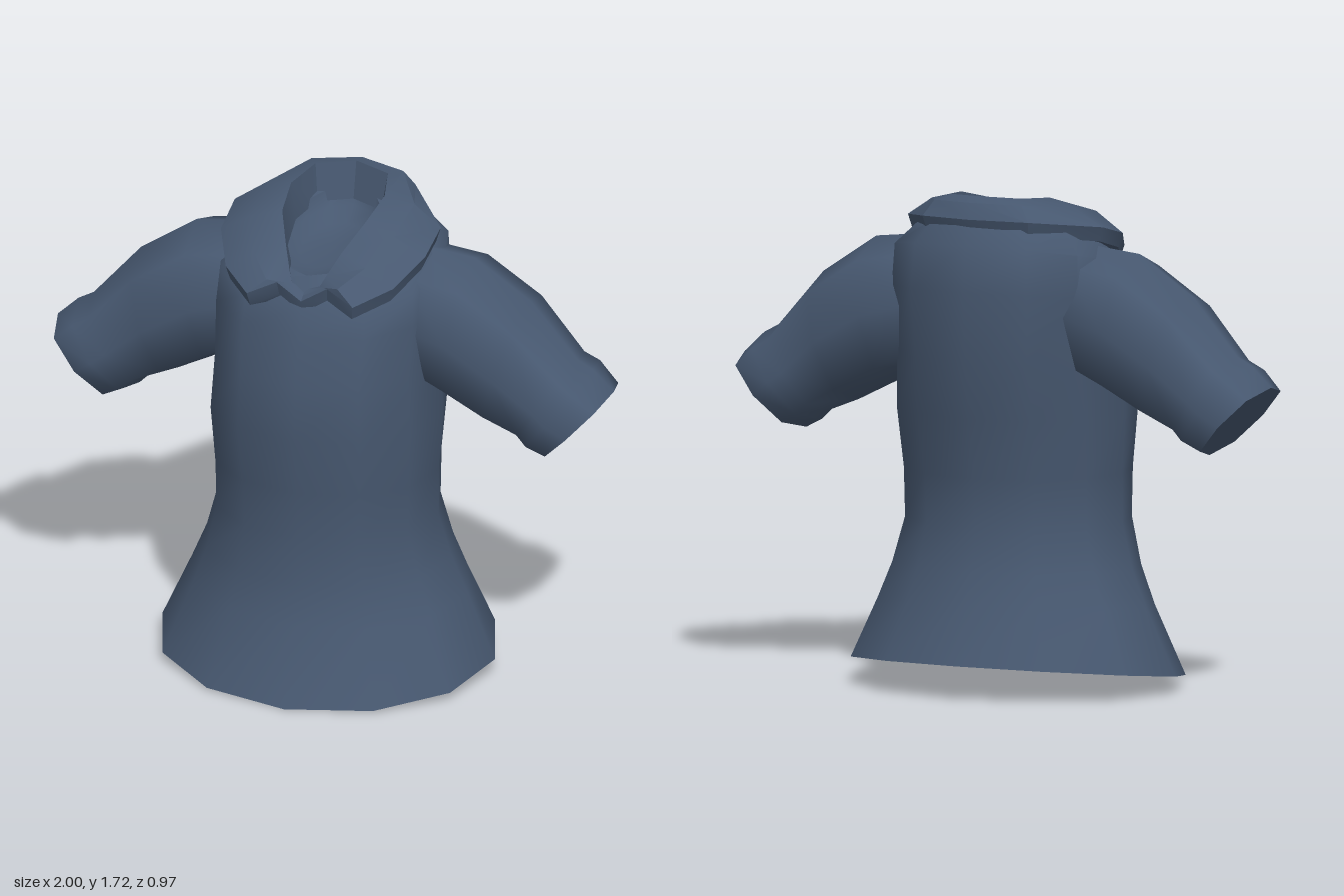
import * as THREE from 'three';
import { toCreasedNormals } from 'three/addons/utils/BufferGeometryUtils.js';

const fabric = new THREE.MeshStandardMaterial({ color: 0x475870 });
fabric.name = 'slate blue fabric';

// Skin a list of closed rings and close both ends
function loft(rings, crease) {
  const n = rings[0].length, pos = [], index = [];
  rings.forEach(r => r.forEach(p => pos.push(...p)));
  for (let i = 0; i < rings.length - 1; i++) {
    for (let j = 0; j < n; j++) {
      const k = (j + 1) % n, a = i * n, b = a + n;
      index.push(a + j, a + k, b + k, a + j, b + k, b + j);
    }
  }
  for (const end of [0, rings.length - 1]) {
    const c = pos.length / 3, o = end * n;
    for (let m = 0; m < 3; m++) pos.push(rings[end].reduce((s, p) => s + p[m], 0) / n);
    for (let j = 0; j < n; j++) {
      const k = (j + 1) % n;
      if (end) index.push(c, o + j, o + k);
      else index.push(c, o + k, o + j);
    }
  }
  const g = new THREE.BufferGeometry();
  g.setAttribute('position', new THREE.Float32BufferAttribute(pos, 3));
  g.setIndex(index);
  return toCreasedNormals(g, crease);
}

const round = (v, e) => Math.sign(v) * Math.pow(Math.abs(v), e);

// Horizontal body ring, tilted so the front hangs lower than the back
function bodyRing([y, w, front, back, tilt, e]) {
  return Array.from({ length: 12 }, (_, i) => {
    const a = i * Math.PI / 6;
    const z = (front + back) / 2 + (front - back) / 2 * round(Math.cos(a), e);
    return [w * round(Math.sin(a), e), y - tilt * z, z];
  });
}

// Sleeve ring spanning a top and a bottom point
function sleeveRing([tx, ty, bx, by, depth], side) {
  const ring = Array.from({ length: 8 }, (_, i) => {
    const a = i * Math.PI / 4;
    const c = round(Math.cos(a), 0.83) / 2, s = round(Math.sin(a), 0.83);
    return [
      side * ((tx + bx) / 2 + c * (tx - bx)),
      (ty + by) / 2 + c * (ty - by),
      -0.08 + s * depth,
    ];
  });
  return side > 0 ? ring : ring.reverse();
}

export function createModel() {
  const shirt = new THREE.Group();
  shirt.name = 'shirt';
  const add = (name, geometry) => {
    const mesh = new THREE.Mesh(geometry, fabric);
    mesh.name = name;
    shirt.add(mesh);
  };

  // Body: shallow lining down to the hem, outside up to the neck, neck floor
  const body = [
    [0.24, 0.05, 0.04, -0.04, 0, 1],
    [0.31, 0.20, 0.16, -0.16, 0.03, 1],
    [0.30, 0.36, 0.29, -0.29, 0.06, 1],
    [0.19, 0.45, 0.36, -0.36, 0.1, 1],
    [0.065, 0.525, 0.425, -0.425, 0.125, 1],
    [0.063, 0.597, 0.485, -0.487, 0.125, 1],
    [0.29, 0.495, 0.38, -0.41, 0.06, 1],
    [0.42, 0.44, 0.347, -0.37, 0.03, 0.97],
    [0.58, 0.395, 0.34, -0.338, 0, 0.95],
    [0.75, 0.395, 0.343, -0.342, 0, 0.92],
    [0.96, 0.408, 0.373, -0.385, 0, 0.9],
    [1.16, 0.395, 0.365, -0.415, 0, 0.9],
    [1.36, 0.40, 0.325, -0.432, 0.1, 0.87],
    [1.48, 0.395, 0.297, -0.415, 0.2, 0.9],
    [1.55, 0.32, 0.265, -0.36, 0.28, 1],
    [1.57, 0.17, 0.235, -0.29, 0.2, 1],
    [1.54, 0.15, 0.21, -0.27, 0.1, 1],
    [1.52, 0.10, 0.14, -0.20, 0.05, 1],
  ];
  add('body', loft(body.map(bodyRing), 0.95));

  // Sleeves: top x, y, bottom x, y, half depth
  const sleeve = [
    [0.31, 1.545, 0.28, 1.10, 0.21],
    [0.50, 1.524, 0.42, 1.03, 0.225],
    [0.70, 1.39, 0.565, 0.957, 0.225],
    [0.87, 1.195, 0.67, 0.915, 0.192],
    [0.925, 1.165, 0.705, 0.88, 0.207],
    [0.999, 1.095, 0.765, 0.848, 0.178],
  ];
  for (const [name, side] of [['leftSleeve', 1], ['rightSleeve', -1]]) {
    add(name, loft(sleeve.map(r => sleeveRing(r, side)), 1.15));
  }

  // Collar: inner ridge, then outer edge, from the back round to the
  // lapel, the notch beside it and the point in the middle of the front
  const collar = [
    [0, 1.72, -0.30, 0, 1.65, -0.388],
    [0.13, 1.713, -0.25, 0.20, 1.645, -0.335],
    [0.168, 1.70, -0.10, 0.37, 1.61, -0.10],
    [0.15, 1.665, 0.05, 0.367, 1.57, 0.06],
    [0.10, 1.59, 0.16, 0.30, 1.505, 0.21],
    [0.065, 1.525, 0.225, 0.19, 1.465, 0.315],
    [0.05, 1.495, 0.245, 0.09, 1.51, 0.29],
    [0, 1.48, 0.255, 0, 1.455, 0.30],
  ];
  const section = ([ix, iy, iz, ox, oy, oz], i, side) => {
    const puff = i < 6 ? 0.02 : 0;
    return [
      [side * ix * 0.88, iy - (i < 4 ? 0.13 : 0.06), iz * 0.9],
      [side * ix, iy, iz],
      [side * (ix + ox) / 2, (iy + oy) / 2 + puff, (iz + oz) / 2 + puff * Math.sign(iz)],
      [side * ox, oy, oz],
      [side * ox * 0.96, oy - 0.05, oz * 0.95],
    ];
  };
  const leftHalf = collar.map((c, i) => section(c, i, 1)).reverse();
  const rightHalf = collar.map((c, i) => section(c, i, -1)).slice(1);
  add('collar', loft([...leftHalf, ...rightHalf], 0.6));

  return shirt;
}
